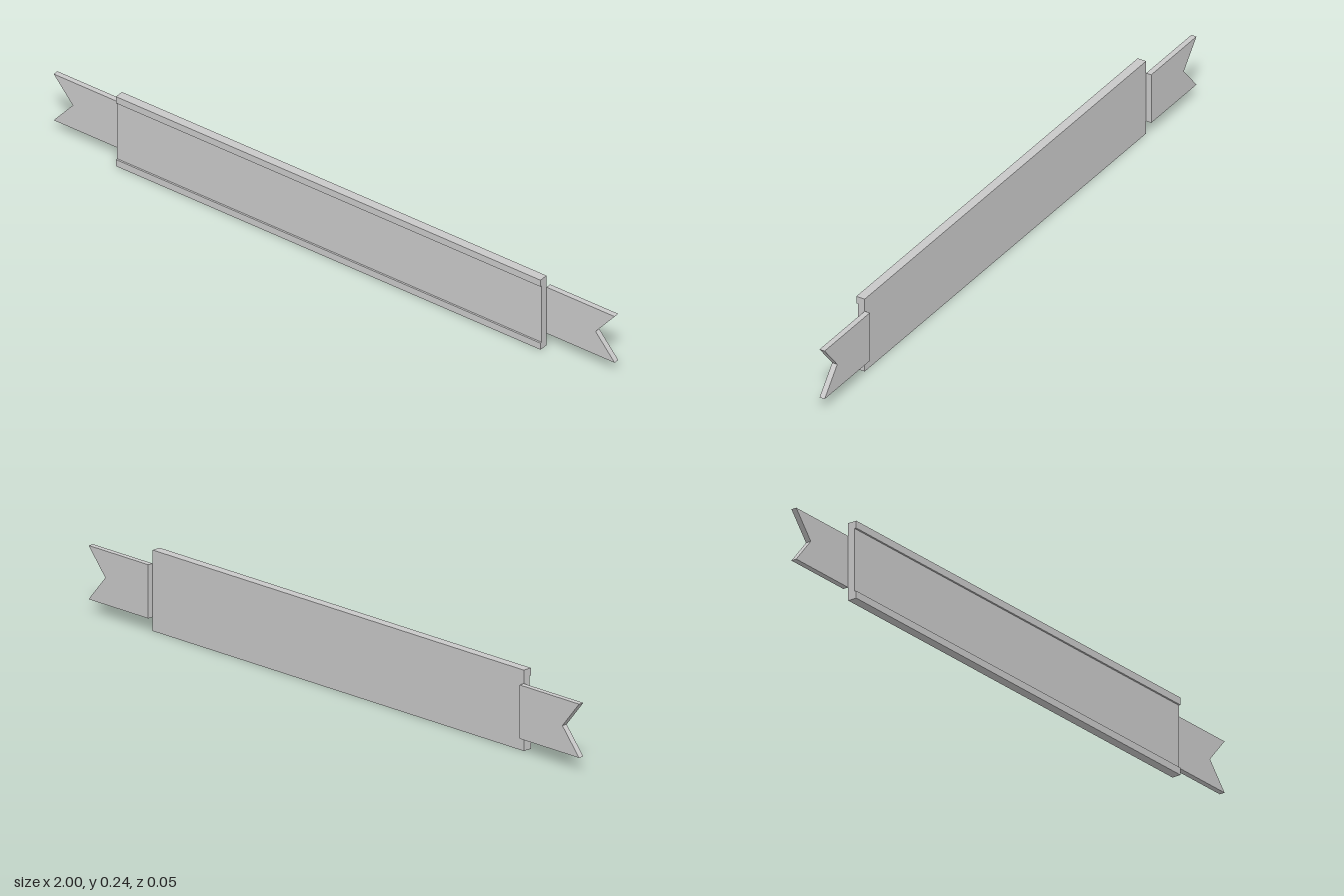
import * as THREE from 'three';

export function createModel() {
  const group = new THREE.Group();
  const grey = new THREE.MeshStandardMaterial({ color: 0xc8c8c8 });
  grey.name = 'lightGrey';

  const halfLength = 0.757;
  const extrude = (points, depth) => {
    const shape = new THREE.Shape(points.map(([x, y]) => new THREE.Vector2(x, y)));
    return new THREE.ExtrudeGeometry(shape, { depth, bevelEnabled: false }).translate(0, 0, -depth / 2);
  };

  // Main panel: shallow channel profile (z, y) swept along x, raised lips at top and bottom
  const panelGeometry = extrude([
    [-0.0055, 0], [0.023, 0], [0.023, 0.023], [0.0175, 0.023],
    [0.0175, 0.221], [0.023, 0.221], [0.023, 0.244], [-0.0055, 0.244],
  ], halfLength * 2);
  const panel = new THREE.Mesh(panelGeometry.rotateY(-Math.PI / 2), grey);
  panel.name = 'bannerPanel';
  group.add(panel);

  // Swallow-tailed ribbon ends, set behind the panel
  const tailGeometry = extrude([
    [halfLength, 0.0415], [1, 0.0415], [0.932, 0.1225], [1, 0.2035], [halfLength, 0.2035],
  ], 0.0172);
  for (const [name, turn] of [['leftRibbonTail', 0], ['rightRibbonTail', Math.PI]]) {
    const tail = new THREE.Mesh(tailGeometry, grey);
    tail.name = name;
    tail.rotation.y = turn;
    tail.position.z = -0.0141;
    group.add(tail);
  }
  return group;
}
